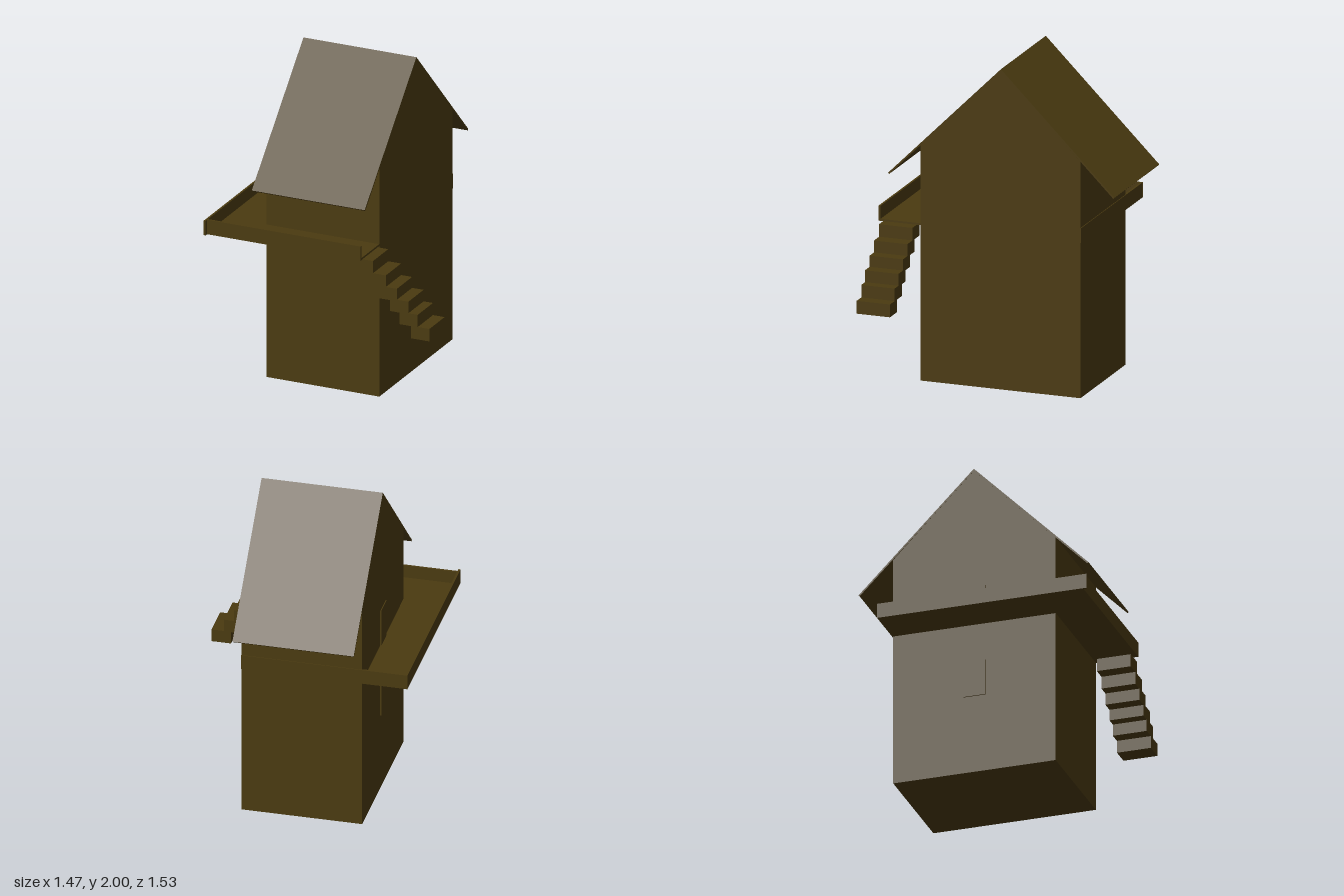
import * as THREE from 'three';

const wood = new THREE.MeshStandardMaterial({ color: 0x4a3a10, flatShading: true });

// Box given by its minimum and maximum on each axis
function box(name, [x0, x1], [y0, y1], [z0, z1]) {
  const geo = new THREE.BoxGeometry(x1 - x0, y1 - y0, z1 - z0);
  geo.translate((x0 + x1) / 2, (y0 + y1) / 2, (z0 + z1) / 2);
  const mesh = new THREE.Mesh(geo, wood);
  mesh.name = name;
  return mesh;
}

// Profile of [z, y] points extruded along x from x0 to x1
function prismAlongX(name, points, x0, x1) {
  const shape = new THREE.Shape(points.map(([z, y]) => new THREE.Vector2(-z, y)));
  const geo = new THREE.ExtrudeGeometry(shape, { depth: x1 - x0, bevelEnabled: false });
  geo.rotateY(Math.PI / 2).translate(x0, 0, 0);
  const mesh = new THREE.Mesh(geo, wood);
  mesh.name = name;
  return mesh;
}

export function createModel() {
  const house = new THREE.Group();
  house.name = 'house';
  const left = 0.29, right = -0.455, front = 0.48, back = -0.547, ridgeZ = -0.037;

  // Tall body with gable ends
  house.add(prismAlongX('body',
    [[front, 0], [front, 1.475], [ridgeZ, 1.99], [back, 1.475], [back, 0]], right, left));

  // Thin folded roof with overhanging eaves
  const t = 0.014;
  house.add(prismAlongX('roof',
    [[0.687, 1.275], [ridgeZ, 2], [-0.765, 1.275], [-0.758, 1.268], [ridgeZ, 2 - t], [0.68, 1.268]],
    right - 0.001, left + 0.001));

  // L-shaped balcony around the front and right side
  const balcony = new THREE.Group();
  balcony.name = 'balcony';
  const outer = -0.735, floorY = [0.97, 0.982], railY = [0.97, 1.063];
  balcony.add(
    box('frontFloor', [outer, left], floorY, [front, 0.745]),
    box('sideFloor', [outer, right], floorY, [-0.55, front]),
    box('frontRail', [outer, left + 0.002], railY, [0.735, 0.748]),
    box('sideRail', [outer, outer + 0.013], railY, [-0.553, 0.77]),
    box('backRail', [outer, left], railY, [-0.552, -0.54]));
  house.add(balcony);

  // Floating steps going down from the balcony's open end
  const stairs = new THREE.Group();
  stairs.name = 'stairs';
  [[0.24, 0.89], [0.325, 0.812], [0.398, 0.738], [0.474, 0.668], [0.536, 0.594], [0.613, 0.516]]
    .forEach(([x, y], i) => stairs.add(
      box(`step${i + 1}`, [x, x + 0.12], [y, y + 0.08], [0.503, 0.717])));
  house.add(stairs);

  // Window and balcony door on the right wall
  house.add(
    box('window', [-0.462, right], [0.5, 0.73], [-0.1, 0.036]),
    box('balconyDoor', [-0.462, right], [0.982, 1.22], [-0.1, 0.036]));

  return house;
}
